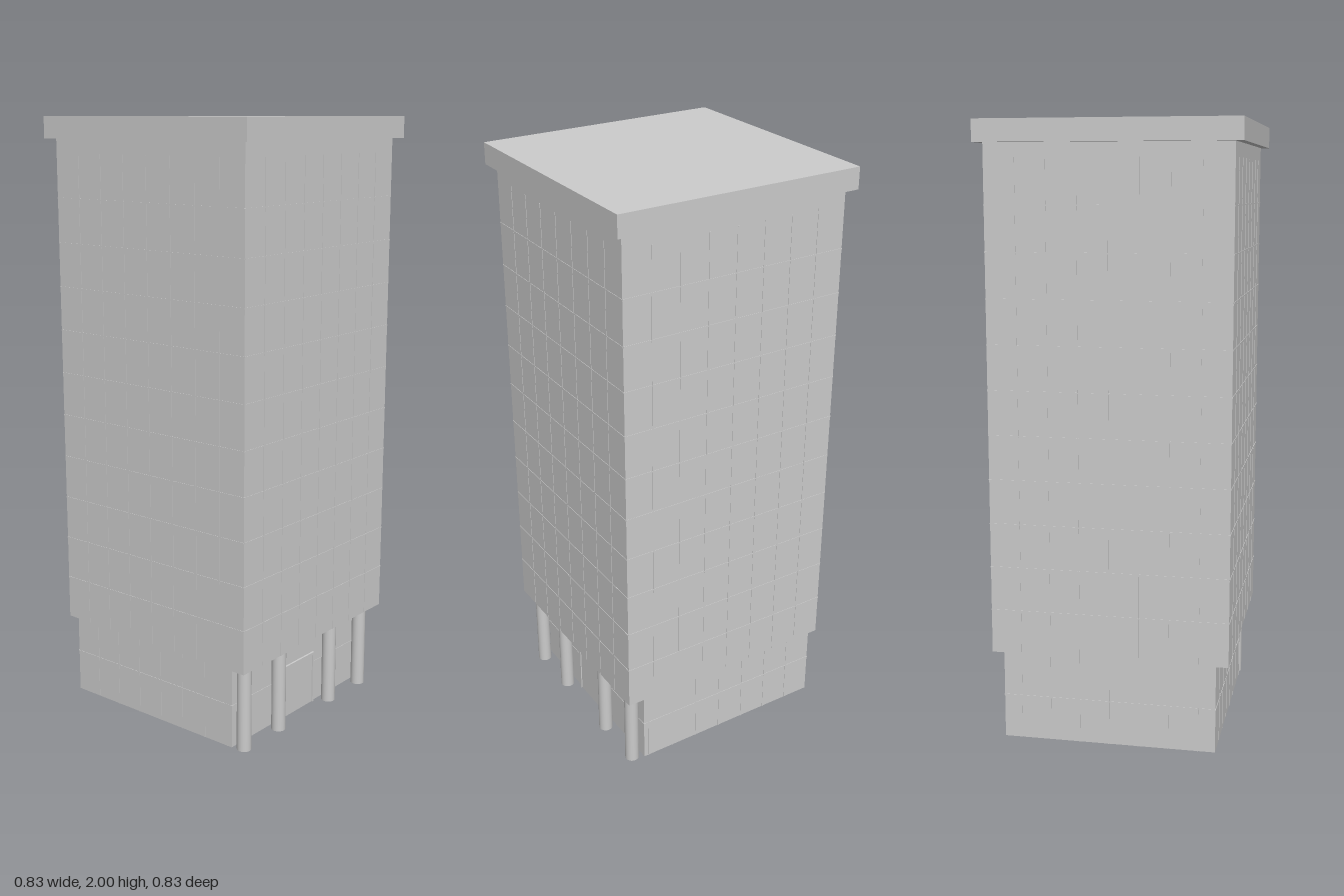
import * as THREE from 'three';

const material = new THREE.MeshStandardMaterial({ color: 0xcccccc });

export function createModel() {
  const model = new THREE.Group();
  model.name = 'officeTower';

  function box(name, parent, x0, x1, y0, y1, z0, z1) {
    const mesh = new THREE.Mesh(new THREE.BoxGeometry(x1 - x0, y1 - y0, z1 - z0), material);
    mesh.position.set((x0 + x1) / 2, (y0 + y1) / 2, (z0 + z1) / 2);
    mesh.name = name;
    parent.add(mesh);
  }

  // Main volumes: recessed ground floors, flush with the tower at the back
  const half = 0.39, baseHalf = 0.35, baseFront = 0.31;
  const towerY = 0.29, towerTop = 1.93;
  box('base', model, -baseHalf, baseHalf, 0, towerY, -half, baseFront);
  box('towerBody', model, -half, half, towerY, towerTop, -half, half);
  box('roofSlab', model, -0.417, 0.417, towerTop, 2, -0.417, 0.417);

  // Fine facade joints: one shallow grid per side
  const floor = 0.145, bay = half / 4, line = 0.002, proud = 0.0015;
  for (let side = 0; side < 4; side++) {
    const facade = new THREE.Group();
    facade.name = 'facadeGrid';
    facade.rotation.y = side * Math.PI / 2;
    for (let k = 1; k <= 10; k++) {
      const y = towerY + k * floor;
      box('floorJoint', facade, -half, half, y - line, y + line, half - 0.002, half + proud);
    }
    for (let k = -3; k <= 3; k++) {
      const x = k * bay;
      box('bayJoint', facade, x - line, x + line, towerY, towerY + 11 * floor, half - 0.002, half + proud);
    }
    model.add(facade);
  }

  // Joint between the two ground floors, running round the base
  box('baseJoint', model, -baseHalf - proud, baseHalf + proud, floor - line, floor + line,
    -half - proud, baseFront + proud);

  // Bay joints of the base
  for (let k = -3; k <= 3; k++) {
    const p = k * bay;
    box('baseBayJoint', model, p - line, p + line, 0, towerY, -half - proud, -half + 0.002);
    box('baseBayJoint', model, -baseHalf - proud, baseHalf + proud, 0, towerY, p - line, p + line);
  }

  // Entrance: door panel with a thin frame
  const entrance = new THREE.Group();
  entrance.name = 'entrance';
  box('doorPanel', entrance, -0.092, 0.088, 0, 0.175, baseFront - 0.01, baseFront + 0.003);
  box('doorFrameTop', entrance, -0.1, 0.096, 0.175, 0.185, baseFront - 0.01, baseFront + 0.007);
  for (const x of [-0.1, 0.088]) {
    box('doorFrameSide', entrance, x, x + 0.008, 0, 0.175, baseFront - 0.01, baseFront + 0.007);
  }
  model.add(entrance);

  // Round columns carrying the overhanging front
  const columnGeometry = new THREE.CylinderGeometry(0.024, 0.024, towerY, 20);
  for (const x of [-0.331, -0.147, 0.142, 0.326]) {
    const column = new THREE.Mesh(columnGeometry, material);
    column.position.set(x, towerY / 2, 0.346);
    column.name = 'column';
    model.add(column);
  }

  return model;
}
